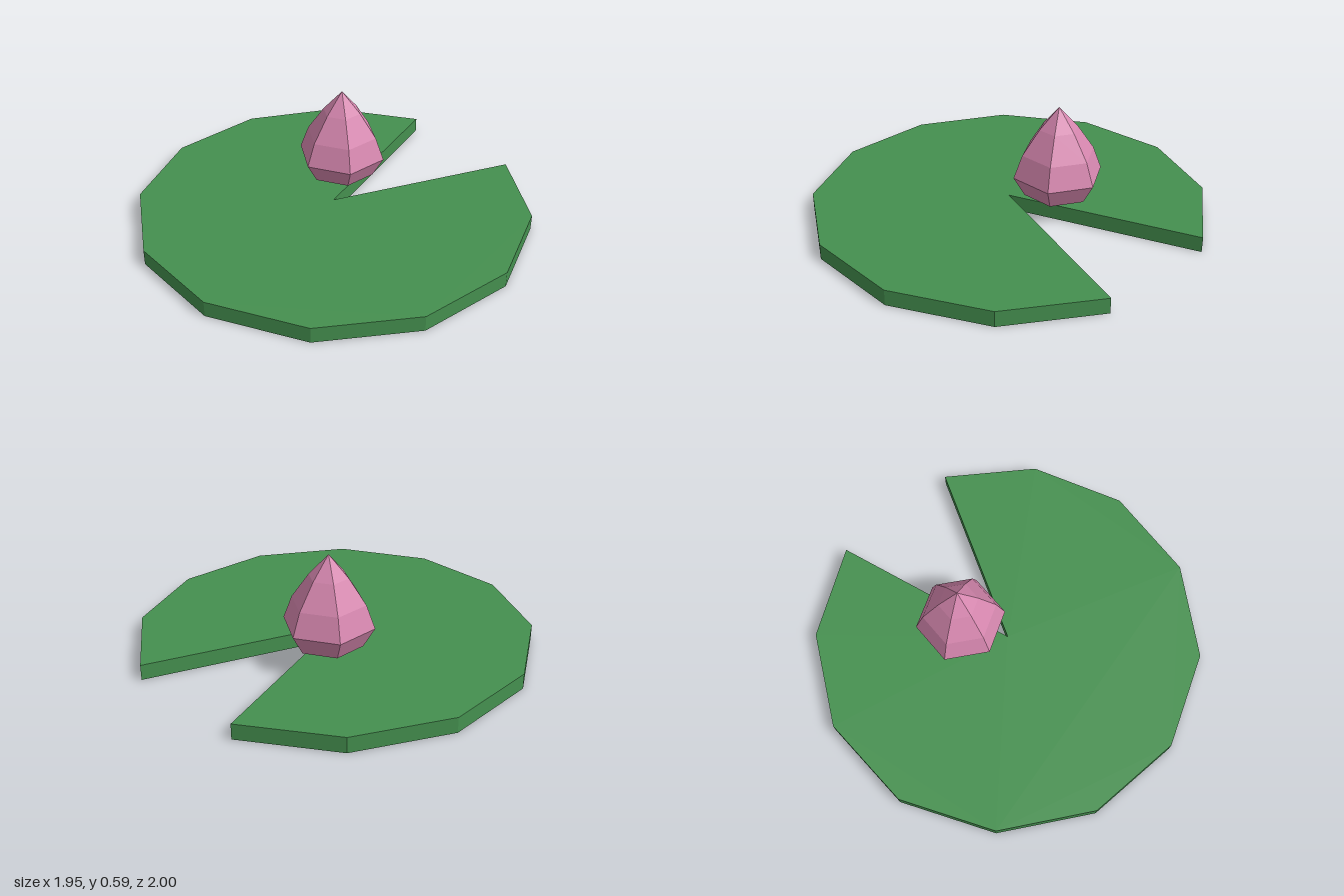
import * as THREE from 'three';

export function createModel() {
  const model = new THREE.Group();
  model.name = 'lilyPad';

  const leafGreen = new THREE.MeshStandardMaterial({ color: 0x45904f, flatShading: true });
  leafGreen.name = 'leafGreen';
  const petalPink = new THREE.MeshStandardMaterial({ color: 0xd687af, flatShading: true });
  petalPink.name = 'petalPink';

  // Leaf: eleven-segment disc with a 40 degree notch facing +x
  const radius = 1.0216, centreX = 0.0145, thickness = 0.08, segments = 11;
  const notch = THREE.MathUtils.degToRad(20);
  const outline = new THREE.Shape();
  outline.moveTo(centreX, 0);
  for (let i = 0; i <= segments; i++) {
    const a = notch + (i / segments) * (Math.PI * 2 - notch * 2);
    outline.lineTo(centreX + radius * Math.cos(a), radius * Math.sin(a));
  }
  outline.closePath();
  const leafGeometry = new THREE.ExtrudeGeometry(outline, { depth: thickness, bevelEnabled: false });
  leafGeometry.rotateX(Math.PI / 2).translate(0, thickness, 0);
  const leaf = new THREE.Mesh(leafGeometry, leafGreen);
  leaf.name = 'leaf';
  model.add(leaf);

  // Flower bud: six-sided faceted drop with corners on the x axis
  const profile = [
    [0, 0], [0.175, 0.041], [0.234, 0.145], [0.189, 0.265], [0.101, 0.395], [0, 0.509],
  ].map(([r, y]) => new THREE.Vector2(r, y));
  const bud = new THREE.Mesh(new THREE.LatheGeometry(profile, 6, Math.PI / 2), petalPink);
  bud.name = 'flowerBud';
  bud.position.set(0.207, thickness, -0.157);
  model.add(bud);

  return model;
}
